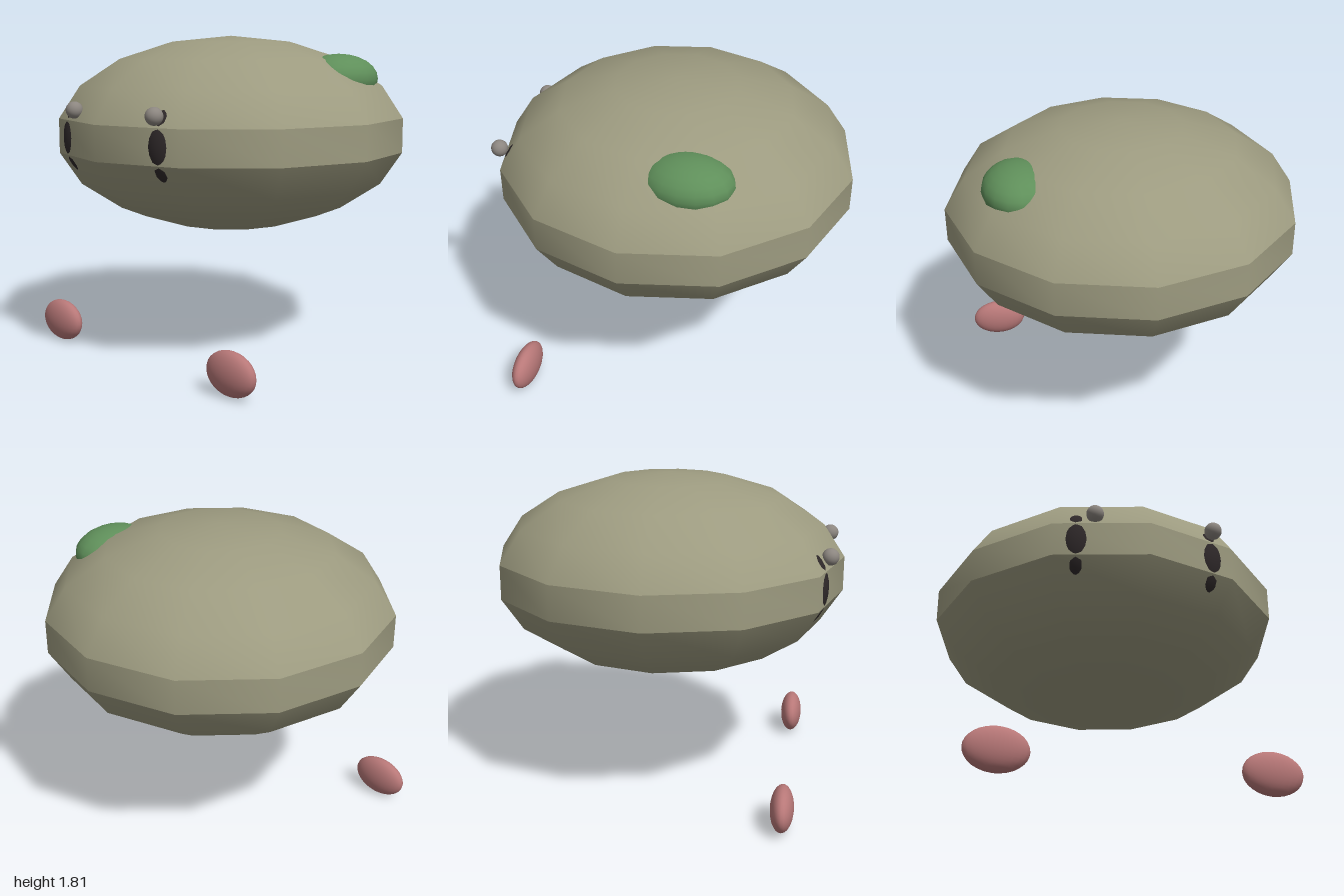
import * as THREE from 'three';
import { toCreasedNormals } from 'three/addons/utils/BufferGeometryUtils.js';

const paint = (color) => new THREE.MeshStandardMaterial({ color });

const materials = {
  body: paint(0x9d9b80),
  eye: paint(0x2e2829),
  glint: paint(0x8c8680),
  foot: paint(0xb87878),
  patch: paint(0x5f8f5a),
};

// Ellipsoid with given centre and radii
function ellipsoid(name, material, center, radii, cols = 24, rows = 16) {
  const geometry = new THREE.SphereGeometry(1, cols, rows).scale(...radii);
  const mesh = new THREE.Mesh(geometry, material);
  mesh.name = name;
  mesh.position.set(...center);
  return mesh;
}

export function createModel() {
  const model = new THREE.Group();
  model.name = 'floatingCreature';

  // Squashed low-poly body, creased above and below its upright middle band
  const body = ellipsoid('body', materials.body, [0, 1.258, 0], [1.0154, 0.557, 1.0154], 12, 9);
  body.geometry = toCreasedNormals(body.geometry, 0.55);
  model.add(body);

  // Eyes barely breaking the surface, and detached feet
  for (const [side, s] of [['left', 1], ['right', -1]]) {
    model.add(
      ellipsoid(side + 'Eye', materials.eye, [s * 0.348, 1.258, 0.762], [0.138, 0.22, 0.155]),
      ellipsoid(side + 'Foot', materials.foot, [s * 0.717, 0.12, 0.717], [0.168, 0.12, 0.065])
    );
  }

  // Eye glints, both shifted towards the same side
  model.add(
    ellipsoid('leftEyeGlint', materials.glint, [0.38, 1.415, 0.92], [0.047, 0.047, 0.047]),
    ellipsoid('rightEyeGlint', materials.glint, [-0.28, 1.415, 0.92], [0.047, 0.047, 0.047])
  );

  // Green patch on the upper left of the back
  model.add(ellipsoid('patch', materials.patch, [0.6, 1.575, -0.25], [0.2, 0.14, 0.25], 16, 12));

  return model;
}
